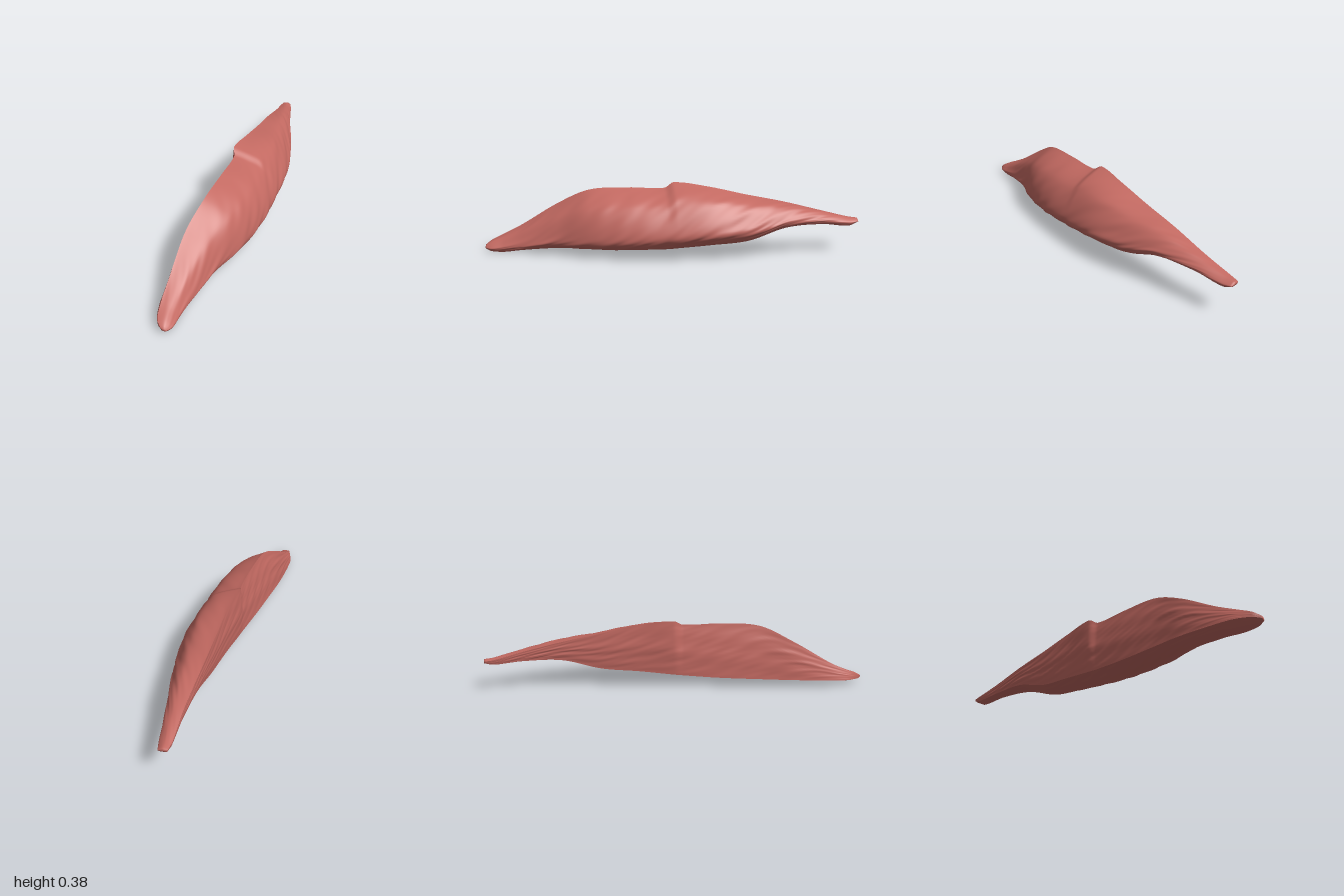
import * as THREE from 'three';

// Cross-sections from front to back:
// z, top edge x y, outer side x y, lower outer edge x y, lower inner corner x y
const SECTIONS = [
  [1.0, -0.165, 0.037, -0.14, 0.027, -0.145, 0.02, -0.162, 0.026],
  [0.97, -0.188, 0.055, -0.122, 0.028, -0.132, 0.008, -0.188, 0.03],
  [0.9, -0.192, 0.088, -0.108, 0.038, -0.124, 0.003, -0.209, 0.035],
  [0.8, -0.183, 0.14, -0.078, 0.055, -0.108, 0.015, -0.207, 0.04],
  [0.6, -0.156, 0.262, 0.0, 0.095, -0.075, 0.03, -0.182, 0.05],
  [0.43, -0.105, 0.343, 0.088, 0.112, -0.025, 0.036, -0.147, 0.055],
  [0.22, -0.068, 0.358, 0.152, 0.13, 0.035, 0.041, -0.102, 0.062],
  [0.03, -0.045, 0.356, 0.18, 0.148, 0.075, 0.049, -0.061, 0.075],
  [-0.02, -0.056, 0.382, 0.186, 0.153, 0.085, 0.055, -0.052, 0.08],
  [-0.2, -0.022, 0.362, 0.204, 0.17, 0.11, 0.074, -0.018, 0.1],
  [-0.4, 0.002, 0.319, 0.194, 0.18, 0.13, 0.098, 0.014, 0.12],
  [-0.6, 0.024, 0.28, 0.164, 0.21, 0.122, 0.16, 0.034, 0.175],
  [-0.8, 0.048, 0.232, 0.135, 0.2, 0.112, 0.17, 0.054, 0.178],
  [-0.95, 0.056, 0.194, 0.119, 0.178, 0.105, 0.154, 0.062, 0.167],
  [-1.0, 0.065, 0.187, 0.11, 0.18, 0.103, 0.174, 0.068, 0.176],
];
const ROWS = 220;

// Smooth interpolation of all section values at z
function sectionAt(z) {
  let i = 0;
  while (i < SECTIONS.length - 2 && z < SECTIONS[i + 1][0]) i++;
  const a = SECTIONS[i], b = SECTIONS[i + 1];
  const p = SECTIONS[Math.max(i - 1, 0)], n = SECTIONS[Math.min(i + 2, SECTIONS.length - 1)];
  const h = b[0] - a[0], t = (z - a[0]) / h;
  return a.map((v, k) => {
    const ma = (b[k] - p[k]) / (b[0] - p[0]) * h;
    const mb = (n[k] - a[k]) / (n[0] - a[0]) * h;
    const t2 = t * t, t3 = t2 * t;
    return v * (2 * t3 - 3 * t2 + 1) + ma * (t3 - 2 * t2 + t) + b[k] * (3 * t2 - 2 * t3) + mb * (t3 - t2);
  });
}

// Point pushed out from the middle of a to b, by a share of its length
function bulge(a, b, share) {
  const d = b.clone().sub(a).multiplyScalar(share);
  return a.clone().add(b).multiplyScalar(0.5).add(new THREE.Vector2(-d.y, d.x));
}

function controlPoints(z) {
  const [, tx, ty, sx, sy, bx, by, ix, iy] = sectionAt(z);
  const top = new THREE.Vector2(tx, ty);
  const side = new THREE.Vector2(sx, sy);
  const bottom = new THREE.Vector2(bx, by);
  const corner = new THREE.Vector2(ix, iy);
  return {
    outer: [top, bulge(top, side, 0.17), side, bulge(side, bottom, 0.16), bottom],
    under: [bottom, bulge(bottom, corner, 0.04), corner],
    inner: [corner, bulge(corner, top, 0.03), top],
    centre: top.clone().add(side).add(bottom).add(corner).divideScalar(4),
  };
}

// Diagonal muscle fibres, fading out at the edges
function fibre(t, z) {
  const d = t - 1.3 * z;
  const wave = Math.sin(27 * d + 3 * Math.sin(5 * z + 4 * t)) * 0.5
    + Math.sin(49 * d + 9 * t) * 0.3 * Math.sin(9 * z + 5 * t) + Math.sin(17 * t + 6 * z) * 0.4;
  return wave * Math.sin(Math.PI * t) * Math.min(1, (1 - Math.abs(z)) * 3);
}

// Loft one side of the muscle, closing both tips to a point
function loft(key, steps, depth) {
  const positions = [], index = [];
  for (let j = -1; j <= ROWS + 1; j++) {
    const z = 1 - 2 * Math.min(Math.max(j, 0), ROWS) / ROWS;
    const points = controlPoints(z);
    const curve = new THREE.SplineCurve(points[key]);
    for (let i = 0; i <= steps; i++) {
      const t = i / steps;
      const p = curve.getPoint(t);
      if (j < 0 || j > ROWS) p.copy(points.centre);
      else {
        const tangent = curve.getTangent(t);
        p.addScaledVector(new THREE.Vector2(-tangent.y, tangent.x), depth * fibre(t, z));
      }
      positions.push(p.x, p.y, z);
    }
  }
  const w = steps + 1;
  for (let j = 0; j < ROWS + 2; j++) {
    for (let i = 0; i < steps; i++) {
      const a = j * w + i, b = a + 1, c = a + w, d = c + 1;
      index.push(a, b, c, b, d, c);
    }
  }
  const geometry = new THREE.BufferGeometry();
  geometry.setAttribute('position', new THREE.Float32BufferAttribute(positions, 3));
  geometry.setIndex(index);
  geometry.computeVertexNormals();
  return geometry;
}

export function createModel() {
  const group = new THREE.Group();
  group.name = 'muscle';
  const flesh = new THREE.MeshStandardMaterial({ color: 0xc46a62 });
  flesh.name = 'muscle red';

  // Rounded fibrous belly, narrow underside and upright inner face
  const parts = [
    ['outerBelly', 'outer', 48, 0.0035],
    ['underside', 'under', 16, 0.0015],
    ['innerFace', 'inner', 28, 0.0025],
  ];
  for (const [name, key, steps, depth] of parts) {
    const mesh = new THREE.Mesh(loft(key, steps, depth), flesh);
    mesh.name = name;
    group.add(mesh);
  }
  return group;
}
